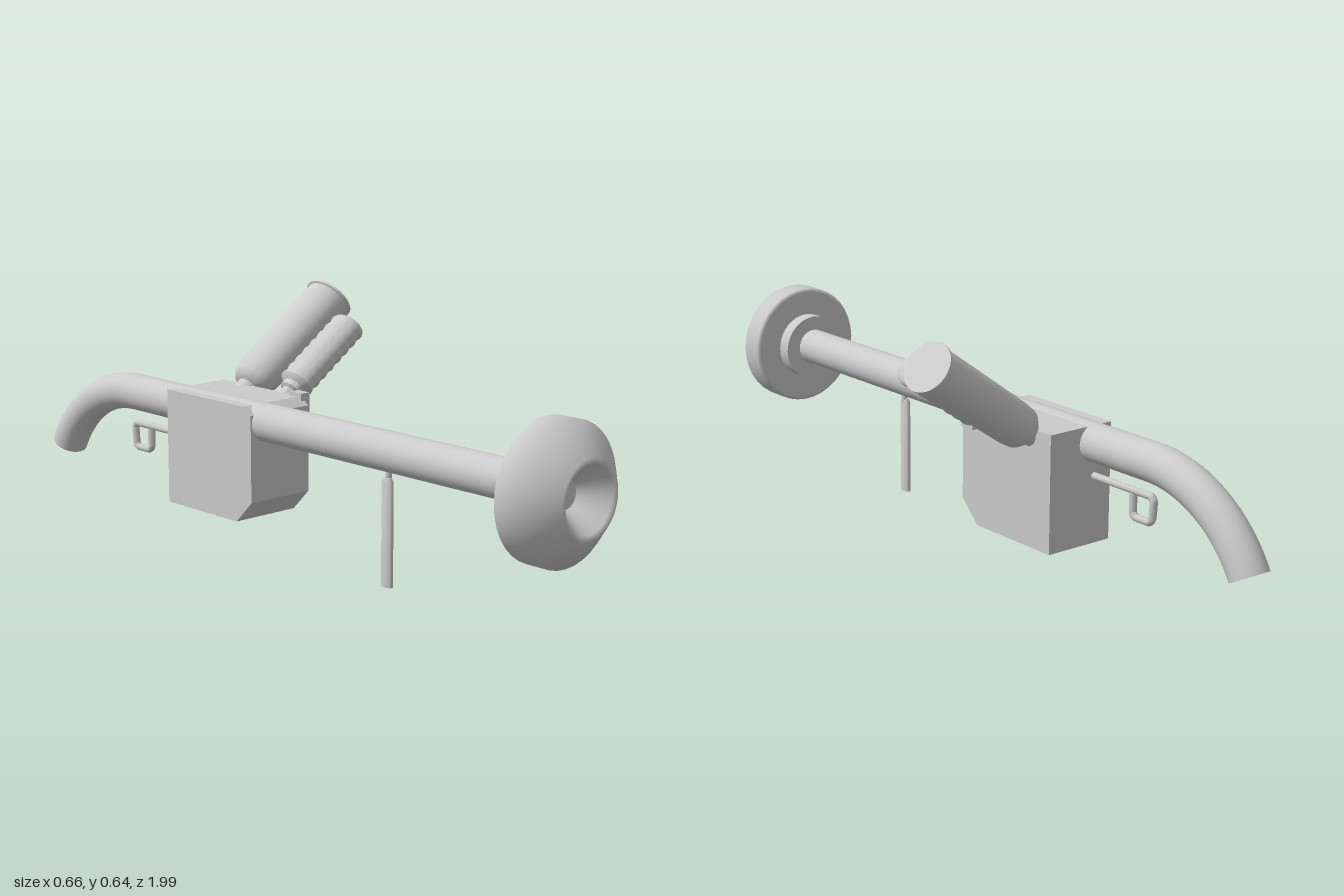
import * as THREE from 'three';
import { toCreasedNormals } from 'three/addons/utils/BufferGeometryUtils.js';

const material = new THREE.MeshStandardMaterial({ color: 0xcccccc });
const AXIS_X = -0.163, AXIS_Y = 0.336; // centre line of the barrel
const TILT = THREE.MathUtils.degToRad(35); // slope of the two side grips

export function createModel() {
  const model = new THREE.Group();
  model.name = 'device';

  const add = (name, geometry, x = 0, y = 0, z = 0) => {
    const mesh = new THREE.Mesh(geometry, material);
    mesh.name = name;
    mesh.position.set(x, y, z);
    model.add(mesh);
    return mesh;
  };
  const lathe = (points, segments = 36) =>
    new THREE.LatheGeometry(points.map(([r, h]) => new THREE.Vector2(r, h)), segments);
  const creased = (geometry, angle = 0.6) => toCreasedNormals(geometry, angle);

  // Front bell with a dimpled face, and the collar behind it
  add('bell', lathe([[0.05, 0.865], [0.16, 0.865], [0.17, 0.872], [0.17, 0.935], [0.095, 1], [0.08, 0.997], [0.035, 0.93]]).rotateX(Math.PI / 2), AXIS_X, AXIS_Y - 0.003);
  add('bellDisc', new THREE.CircleGeometry(0.036, 36), AXIS_X, AXIS_Y - 0.003, 0.93);
  add('bellCollar', creased(lathe([[0.04, 0.825], [0.093, 0.825], [0.093, 0.868], [0.04, 0.868]]).rotateX(Math.PI / 2)), AXIS_X, AXIS_Y - 0.003);

  // Long straight barrel that bends down at the rear
  const bendStart = -0.62, bendRadius = 0.37, bendAngle = THREE.MathUtils.degToRad(62);
  const barrel = new THREE.CylinderGeometry(0.05, 0.05, 0.85 - bendStart, 28, 1, true).rotateX(Math.PI / 2);
  add('barrel', barrel, AXIS_X, AXIS_Y, (0.85 + bendStart) / 2);
  const bend = new THREE.TorusGeometry(bendRadius, 0.05, 28, 20, bendAngle)
    .rotateZ(Math.PI / 2 - bendAngle).rotateY(Math.PI / 2);
  add('barrelBend', bend, AXIS_X, AXIS_Y - bendRadius, bendStart);
  const cap = add('barrelEndCap', new THREE.CircleGeometry(0.05, 28), AXIS_X,
    AXIS_Y - bendRadius * (1 - Math.cos(bendAngle)), bendStart - bendRadius * Math.sin(bendAngle));
  cap.lookAt(AXIS_X, cap.position.y - Math.sin(bendAngle), cap.position.z - Math.cos(bendAngle));

  // Box-shaped body with bevelled front edges, profile drawn in -z and y
  const side = new THREE.Shape([[0.07, 0.13], [0.13, 0.07], [0.413, 0.07], [0.413, 0.38], [0.1, 0.38], [0.07, 0.36]]
    .map(([a, b]) => new THREE.Vector2(a, b)));
  const body = new THREE.ExtrudeGeometry(side, { depth: 0.199, bevelEnabled: false });
  add('body', body.rotateY(Math.PI / 2), -0.217);

  // Tilted oval grips: local y runs along the grip
  const grip = (name, profile, x, y, z, squash) => {
    const mesh = add(name, creased(lathe(profile), 0.7), x, y, z);
    mesh.scale.x = squash;
    mesh.rotation.z = TILT - Math.PI / 2;
  };
  grip('largeGrip', [[0, -0.09], [0.032, -0.09], [0.032, -0.01], [0.05, -0.005], [0.063, 0.012], [0.067, 0.04],
    [0.07, 0.35], [0.076, 0.352], [0.076, 0.358], [0, 0.358]], 0, 0.379, -0.325, 0.87);

  // Small grip with a row of soft finger ridges
  const ridges = [[0, -0.09], [0.022, -0.09], [0.022, -0.02], [0.034, -0.015], [0.034, 0], [0.045, 0.005]];
  for (let i = 0; i <= 48; i++) {
    const t = i / 48;
    ridges.push([0.0515 + 0.002 * Math.cos(t * Math.PI * 14), 0.012 + t * 0.225]);
  }
  ridges.push([0.05, 0.245], [0.042, 0.25], [0, 0.25]);
  grip('smallGrip', ridges, 0.02, 0.392, -0.17, 0.8);
  add('gripBracket', new THREE.BoxGeometry(0.03, 0.06, 0.045), -0.015, 0.36, -0.108);

  // Rod at the rear ending in a square loop
  const loop = new THREE.CurvePath();
  const path = [[0.248, -0.40], [0.248, -0.62], [0.238, -0.628], [0.19, -0.624], [0.18, -0.615],
    [0.18, -0.565], [0.19, -0.556], [0.24, -0.556]].map(([y, z]) => new THREE.Vector3(AXIS_X, y, z));
  for (let i = 1; i < path.length; i++) loop.add(new THREE.LineCurve3(path[i - 1], path[i]));
  add('rearLoop', new THREE.TubeGeometry(loop, 80, 0.01, 8));

  // Single flat leg hung from the barrel on a thin pin
  const leg = add('leg', creased(lathe([[0, 0], [0.018, 0], [0.018, 0.262], [0.013, 0.272], [0, 0.272]], 20)), -0.171, 0, 0.382);
  leg.scale.x = 0.58;
  add('legPin', new THREE.CylinderGeometry(0.008, 0.008, 0.05, 12), -0.168, 0.275, 0.382);

  return model;
}
